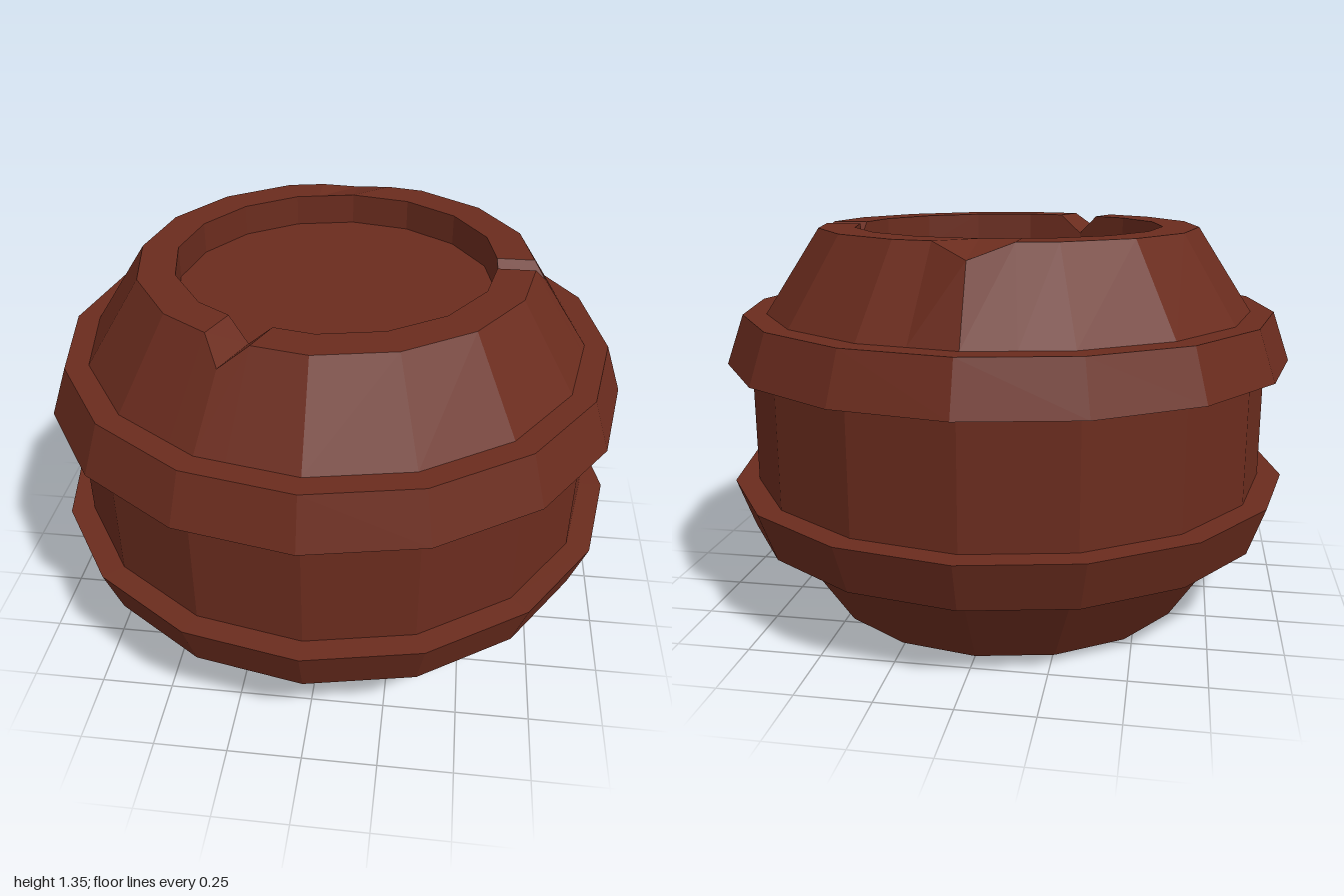
import * as THREE from 'three';

const SIDES = 16;
const STEP = (Math.PI * 2) / SIDES;
const HEIGHT = 1.345;
const BASE_R = 0.86, BASE_Y = 1.055;   // where the sloped end meets its band
const RIM_R = 0.67, HOLE_R = 0.545, FLOOR_Y = 1.235;

// Radius of a regular 16-sided ring at any angle
function ringRadius(r, a) {
  const m = ((a % STEP) + STEP) % STEP;
  return (r * Math.cos(STEP / 2)) / Math.cos(m - STEP / 2);
}

function ringPoint(r, a, y) {
  const q = ringRadius(r, a);
  return [Math.cos(a) * q, y, -Math.sin(a) * q];
}

// Sloped end with a raised rim and recess; chips are V cuts centred on ring corners
function endGeometry(chips) {
  const samples = [];
  for (let i = 0; i < SIDES; i++) {
    const a = i * STEP;
    const chip = chips.find((c) => c.corner === i);
    const plain = (outer, inner) => ({
      outer: ringPoint(RIM_R, outer, HEIGHT),
      inner: ringPoint(HOLE_R, inner, HEIGHT),
      floor: ringPoint(HOLE_R, inner, FLOOR_Y),
      base: ringPoint(BASE_R, outer, BASE_Y),
    });
    if (!chip) {
      samples.push(plain(a, a));
      continue;
    }
    const dOut = Math.asin(chip.half / RIM_R), dIn = Math.asin(chip.half / HOLE_R);
    const tip = plain(a, a);
    tip.outer = ringPoint(chip.tipR, a, HEIGHT - chip.outerDrop);
    tip.inner = ringPoint(HOLE_R, a, HEIGHT - chip.innerDrop);
    samples.push(plain(a - dOut, a - dIn), tip, plain(a + dOut, a + dIn));
  }

  const pos = [];
  const quad = (a, b, c, d) => pos.push(...a, ...b, ...c, ...a, ...c, ...d);
  samples.forEach((s, i) => {
    const t = samples[(i + 1) % samples.length];
    quad(s.base, t.base, t.outer, s.outer);     // slope
    quad(s.outer, t.outer, t.inner, s.inner);   // rim
    quad(s.inner, t.inner, t.floor, s.floor);   // recess wall
  });
  const g = new THREE.BufferGeometry();
  g.setAttribute('position', new THREE.Float32BufferAttribute(pos, 3));
  g.computeVertexNormals();
  return g;
}

export function createModel() {
  const model = new THREE.Group();
  model.name = 'barrel';
  const clay = new THREE.MeshStandardMaterial({ color: 0x6b2c1e, flatShading: true });

  const add = (parent, name, geometry) => {
    const mesh = new THREE.Mesh(geometry, clay);
    mesh.name = name;
    parent.add(mesh);
    return mesh;
  };

  // Straight middle with two flared bands
  const profile = [
    [BASE_R, 0.29], [0.94, 0.29], [1, 0.46], [0.918, 0.46],
    [0.918, 0.885], [1, 0.885], [0.94, BASE_Y], [BASE_R, BASE_Y],
  ].map(([r, y]) => new THREE.Vector2(r, y));
  const body = new THREE.LatheGeometry(profile, SIDES).toNonIndexed();
  body.computeVertexNormals();
  add(model, 'bandedBody', body);

  // Top and bottom ends
  const makeEnd = (name, chips) => {
    const end = new THREE.Group();
    end.name = name;
    add(end, 'chippedRim', endGeometry(chips));
    const floor = new THREE.CircleGeometry(HOLE_R, SIDES).rotateX(-Math.PI / 2);
    add(end, 'recessFloor', floor).position.y = FLOOR_Y;
    model.add(end);
    return end;
  };

  makeEnd('topEnd', [
    { corner: 0, half: 0.04, tipR: 0.7, outerDrop: 0.05, innerDrop: 0.05 },
    { corner: 4, half: 0.13, tipR: 0.75, outerDrop: 0.045, innerDrop: 0 },
    { corner: 11, half: 0.08, tipR: 0.715, outerDrop: 0.07, innerDrop: 0.07 },
  ]);

  const bottom = makeEnd('bottomEnd', [
    { corner: 4, half: 0.07, tipR: 0.712, outerDrop: 0.065, innerDrop: 0.065 },
  ]);
  bottom.rotation.x = Math.PI;
  bottom.position.y = HEIGHT;

  return model;
}
